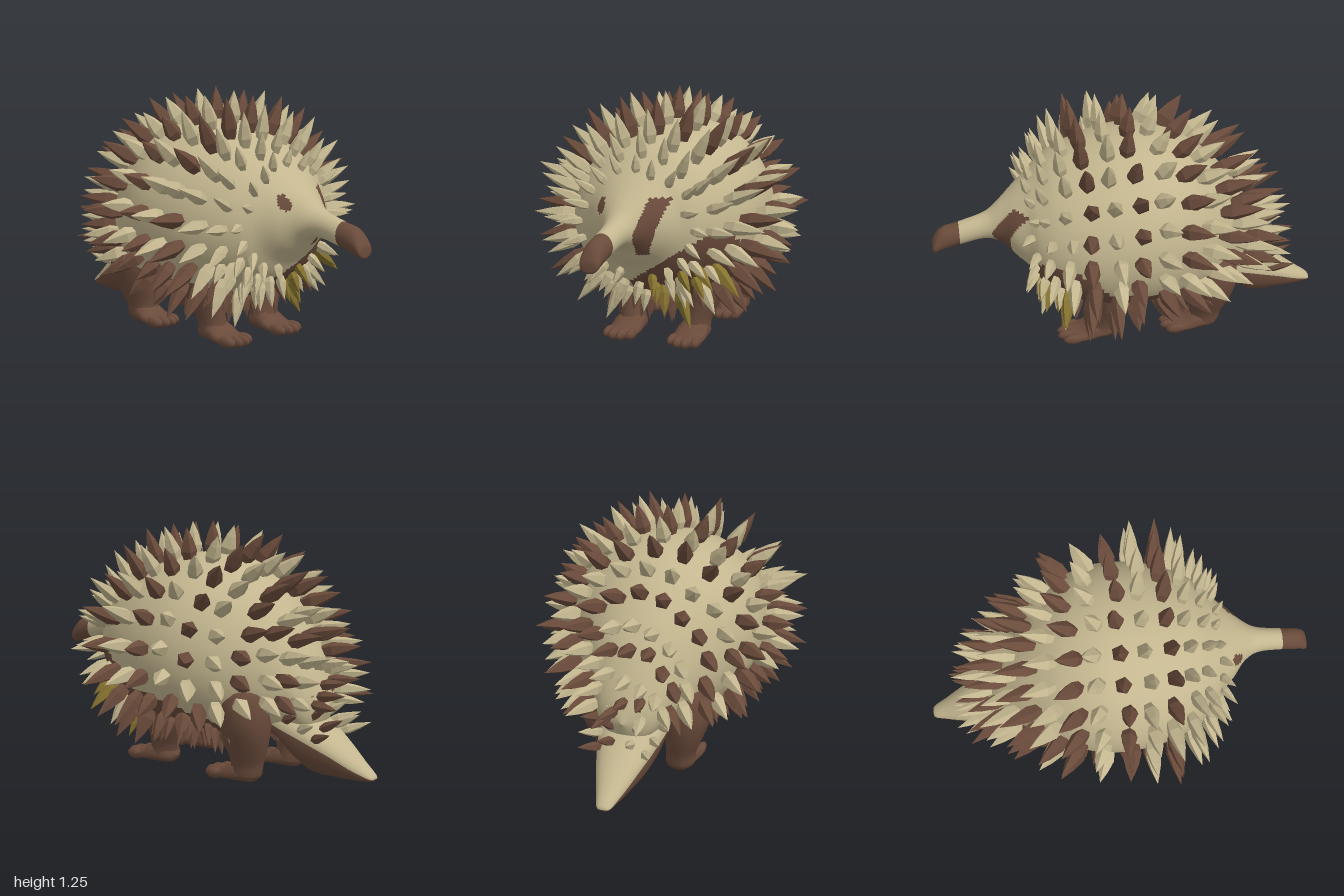
import * as THREE from 'three';
import { mergeGeometries } from 'three/addons/utils/BufferGeometryUtils.js';

const V = (x, y, z) => new THREE.Vector3(x, y, z);
const { lerp, clamp, smoothstep } = THREE.MathUtils;

// Closed tube of rows x cols from point(t, angle); pick(centre, angle) gives a material index
function surface(point, rows, cols, pick, mats, name) {
  const pts = [], faces = mats.map(() => []);
  for (let i = 0; i <= rows; i++)
    for (let j = 0; j < cols; j++) pts.push(point(i / rows, j / cols * Math.PI * 2));
  for (let i = 0; i < rows; i++)
    for (let j = 0; j < cols; j++) {
      const k = (j + 1) % cols;
      const a = i * cols + j, b = i * cols + k, c = a + cols, d = b + cols;
      const mid = V(0, 0, 0);
      [a, b, c, d].forEach(q => mid.addScaledVector(pts[q], 0.25));
      faces[pick(mid, (j + 0.5) / cols * Math.PI * 2)].push(a, b, c, b, d, c);
    }
  const g = new THREE.BufferGeometry().setFromPoints(pts);
  g.setIndex(faces.flat());
  let start = 0;
  faces.forEach((f, m) => { g.addGroup(start, f.length, m); start += f.length; });
  g.computeVertexNormals();
  const mesh = new THREE.Mesh(g, mats);
  mesh.name = name;
  return mesh;
}

// Loft along z through sections [z, top, bottom, middle, half width]
function zLoft(sections, x0 = 0) {
  const c1 = new THREE.CatmullRomCurve3(sections.map(s => V(s[1], s[2], s[0])));
  const c2 = new THREE.CatmullRomCurve3(sections.map(s => V(s[3], s[4], s[0])));
  return (t, a) => {
    const p = c1.getPoint(t), q = c2.getPoint(t), c = Math.cos(a);
    return V(x0 + q.y * Math.sin(a), q.x + c * (c > 0 ? p.x - q.x : q.x - p.y), p.z);
  };
}

// Vertical loft through [y, x, z, radius x, radius z], from the top down
function yLoft(sections) {
  const c1 = new THREE.CatmullRomCurve3(sections.map(s => V(s[1], s[0], s[2])));
  const c2 = new THREE.CatmullRomCurve3(sections.map(s => V(s[3], s[0], s[4])));
  return (t, a) => {
    const p = c1.getPoint(t), r = c2.getPoint(t);
    return V(p.x + r.x * Math.sin(a), p.y, p.z - r.z * Math.cos(a));
  };
}

const BODY = [
  [1.0, 0.545, 0.545, 0.545, 0], [0.995, 0.58, 0.515, 0.55, 0.044], [0.95, 0.645, 0.525, 0.58, 0.052],
  [0.86, 0.67, 0.55, 0.61, 0.054], [0.72, 0.715, 0.575, 0.645, 0.068], [0.65, 0.77, 0.55, 0.655, 0.11],
  [0.59, 0.82, 0.49, 0.65, 0.18], [0.53, 0.87, 0.43, 0.64, 0.24], [0.48, 0.91, 0.36, 0.63, 0.31],
  [0.39, 0.98, 0.29, 0.62, 0.385], [0.25, 1.04, 0.22, 0.62, 0.45], [0.08, 1.085, 0.19, 0.63, 0.485],
  [-0.1, 1.09, 0.19, 0.63, 0.48], [-0.28, 1.03, 0.2, 0.61, 0.415], [-0.45, 0.89, 0.23, 0.56, 0.3],
  [-0.58, 0.72, 0.25, 0.5, 0.2], [-0.67, 0.55, 0.28, 0.42, 0.13], [-0.73, 0.4, 0.4, 0.4, 0]];
const TAIL = [
  [-0.35, 0.36, 0.36, 0.36, 0], [-0.42, 0.43, 0.26, 0.34, 0.14], [-0.52, 0.43, 0.2, 0.31, 0.17],
  [-0.65, 0.36, 0.08, 0.26, 0.15], [-0.8, 0.26, 0.068, 0.19, 0.105], [-0.92, 0.17, 0.072, 0.125, 0.06],
  [-0.995, 0.11, 0.085, 0.095, 0.027], [-1, 0.095, 0.095, 0.095, 0]];

export function createModel() {
  const model = new THREE.Group();
  const mat = (name, color) => Object.assign(new THREE.MeshStandardMaterial({ color }), { name });
  const mats = [mat('tan', 0xc3b68f), mat('brown', 0x6a4b3b), mat('olive', 0x86732f)];
  let seed = 7;
  const rnd = () => (seed = (seed * 16807) % 2147483647) / 2147483647;

  // Body, head and snout with dark nose, eye marks and underside
  const body = zLoft(BODY);
  const paint = p => {
    if (p.z > 0.86) return 1;
    const h = (p.y - 0.52) / 0.27;
    if (p.z > 0.5 && h > 0 && h < 1 && Math.abs(p.x - 0.08 - 0.075 * h) < lerp(0.03, 0.045, h)) return 1;
    if (p.z > 0.5 && Math.hypot(p.x + 0.13, (p.y - 0.74) * 0.65) < 0.025) return 1;
    const flank = lerp(0.28, 0.42, smoothstep(p.z, -0.35, 0.05));
    const chest = p.x > -0.05 ? clamp(0.38 + 0.65 * p.x, 0, 0.6) : 0.25;
    const limit = lerp(p.x > 0 ? flank : 0.32, chest, smoothstep(p.z, 0.1, 0.36));
    return p.z < 0.56 && p.y < limit ? 1 : 0;
  };
  model.add(surface(body, 204, 80, paint, mats, 'body'));
  const tail = zLoft(TAIL);
  model.add(surface(tail, 28, 16, (p, a) => (Math.cos(a) > 0 ? 0 : 1), mats, 'tail'));

  // Legs, feet and toes
  const brown = () => 1;
  const legs = {
    front: { x: 0.175, z: 0.17, rings: [[0.5, 0.22, 0.11, 0, 0], [0.46, 0.23, 0.11, 0.1, 0.13], [0.33, 0.235, 0.12, 0.1, 0.125],
      [0.2, 0.205, 0.14, 0.08, 0.1], [0.1, 0.18, 0.165, 0.07, 0.075], [0.03, 0.175, 0.18, 0.07, 0.07], [0.02, 0.175, 0.18, 0, 0]] },
    rear: { x: 0.18, z: -0.37, rings: [[0.52, 0.19, -0.36, 0, 0], [0.48, 0.2, -0.37, 0.12, 0.14], [0.33, 0.22, -0.39, 0.12, 0.14],
      [0.2, 0.205, -0.39, 0.095, 0.115], [0.1, 0.185, -0.38, 0.075, 0.085], [0.03, 0.18, -0.37, 0.07, 0.075], [0.02, 0.18, -0.37, 0, 0]] },
  };
  const foot = [[0.2, 0.03, 0.03, 0.03, 0], [0.19, 0.048, 0.008, 0.028, 0.07], [0.1, 0.07, 0.005, 0.035, 0.086],
    [0.03, 0.12, 0.005, 0.05, 0.08], [-0.05, 0.11, 0.01, 0.05, 0.06], [-0.08, 0.05, 0.05, 0.05, 0]];
  for (const [end, leg] of Object.entries(legs))
    for (const s of [1, -1]) {
      const g = new THREE.Group();
      g.name = end + (s > 0 ? 'LeftLeg' : 'RightLeg');
      g.add(surface(yLoft(leg.rings.map(r => [r[0], s * r[1], r[2], r[3], r[4]])), 18, 14, brown, mats, 'leg'));
      g.add(surface(zLoft(foot.map(f => [f[0] + leg.z, ...f.slice(1)]), s * leg.x), 15, 12, brown, mats, 'foot'));
      for (let i = 0; i < 4; i++) {
        const toe = new THREE.Mesh(new THREE.SphereGeometry(1, 8, 6), mats[1]);
        toe.name = 'toe';
        toe.scale.set(0.022, 0.028, 0.055);
        toe.position.set(s * leg.x + (i - 1.5) * 0.042, 0.032, leg.z + (i % 3 ? 0.18 : 0.155));
        g.add(toe);
      }
      model.add(g);
    }

  // Faceted spine, one unit long, swelling above its root
  const spine = new THREE.LatheGeometry(
    [[0.65, 0], [1, 0.32], [0.62, 0.66], [0, 1]].map(p => new THREE.Vector2(...p)), 5).toNonIndexed();
  spine.computeVertexNormals();
  const spines = [[], [], []];
  const up = V(0, 1, 0);

  // Places a spine on a loft at depth z and angle a around it
  const addSpine = (loft, z, a, length, radius, colour) => {
    let lo = 0, hi = 1;
    for (let i = 0; i < 24; i++) {
      const m = (lo + hi) / 2;
      if (loft(m, 0).z > z) lo = m; else hi = m;
    }
    const p = loft(lo, a);
    const da = loft(lo, a + 0.02).sub(loft(lo, a - 0.02));
    const n = da.cross(loft(lo + 0.004, a).sub(loft(lo - 0.004, a))).normalize();
    const k = clamp((0.1 - z) * 1.4, 0, 0.9);
    const dir = V(n.x, n.y, (n.z > 0 ? n.z * 0.4 : n.z) - k);
    dir.x += (rnd() - 0.5) * 0.15;
    dir.y += (rnd() - 0.5) * 0.15;
    dir.normalize();
    const turn = new THREE.Quaternion().setFromUnitVectors(up, dir);
    const m = new THREE.Matrix4().compose(p.clone().addScaledVector(dir, -0.02), turn, V(radius, length, radius));
    spines[colour(p)].push(spine.clone().applyMatrix4(m));
  };

  // Rows of spines: [z, length, radius, spines on each side, reach in radians, main colour]
  const rows = [
    [0.5, 0.11, 0.024, 9, 2.85, 0], [0.43, 0.15, 0.029, 9, 2.85, 0], [0.34, 0.18, 0.036, 9, 2.75, 0],
    [0.24, 0.2, 0.042, 8, 2.4, 1], [0.13, 0.18, 0.041, 8, 2.4, 0], [0.02, 0.17, 0.043, 8, 2.4, 1],
    [-0.1, 0.17, 0.042, 8, 2.35, 0], [-0.21, 0.2, 0.043, 7, 2.15, 1], [-0.32, 0.2, 0.041, 7, 2.1, 0],
    [-0.42, 0.23, 0.042, 6, 2, 1], [-0.51, 0.22, 0.039, 5, 1.9, 0], [-0.58, 0.23, 0.038, 4, 1.8, 1],
    [-0.64, 0.21, 0.034, 3, 1.6, 0], [-0.69, 0.18, 0.029, 2, 1.4, 1]];
  for (const [z, length, radius, half, reach, main] of rows)
    for (let i = -half; i <= half; i++) {
      const a = i / half * reach;
      const size = length * (0.92 + rnd() * 0.16) * (z > 0.1 ? 1 + 0.25 * Math.abs(Math.sin(a)) : 1);
      addSpine(body, z + (rnd() - 0.5) * 0.03, a, size, radius, p => {
        if (z > 0.3) return p.x > 0.08 && p.y < 0.48 && i % 2 ? 2 : 0;
        if (p.y < 0.45 && z > -0.3) return 1;
        return rnd() < 0.1 ? 1 - main : main;
      });
    }

  // Throat spines, spines over the root of the tail, and a fringe under the belly
  for (const z of [0.46, 0.385])
    for (let i = -4; i <= 4; i++)
      addSpine(body, z, Math.PI - i * 0.24, 0.13, 0.027, p => (p.x > 0.06 && i % 2 ? 2 : 0));
  for (const z of [-0.5, -0.58, -0.66, -0.73])
    for (const a of [-1.1, -0.4, 0.4, 1.1])
      addSpine(tail, z, a, 0.17, 0.025, () => (rnd() < 0.45 ? 1 : 0));
  for (let z = -0.3; z < 0.31; z += 0.1)
    for (let i = -4; i <= 4; i++)
      addSpine(body, z, Math.PI + i * 0.17 + (rnd() - 0.5) * 0.1, 0.11 + rnd() * 0.05, 0.024, brown);

  ['tanSpines', 'brownSpines', 'oliveSpines'].forEach((name, i) => {
    const mesh = new THREE.Mesh(mergeGeometries(spines[i]), mats[i]);
    mesh.name = name;
    model.add(mesh);
  });
  return model;
}
